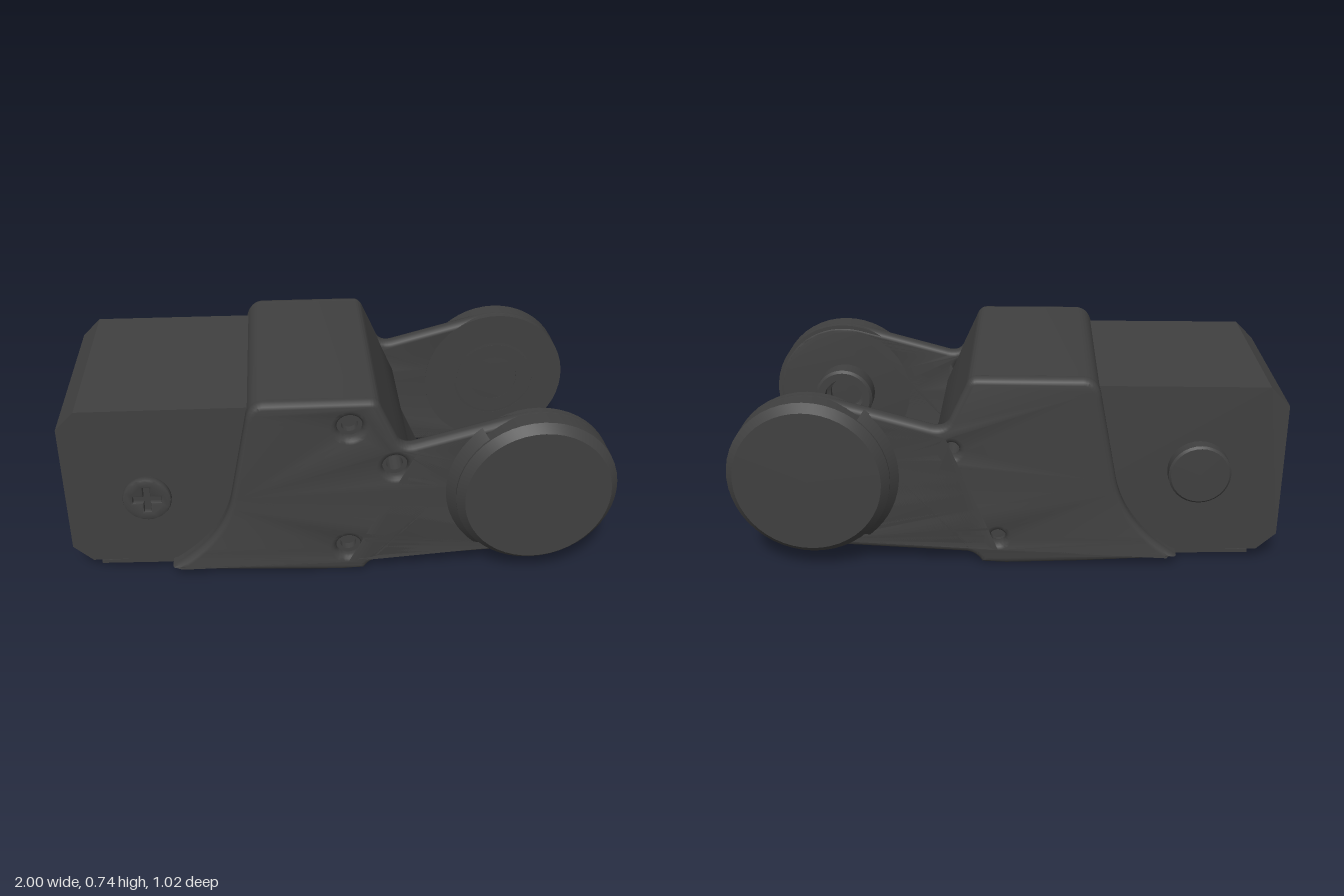
import * as THREE from 'three';
import { toCreasedNormals } from 'three/addons/utils/BufferGeometryUtils.js';

const PAD = [0.705, 0.365];           // pivot centre of the arms
const PAD_R = 0.293;
const BEVEL = 0.022;
const PIVOT = [-0.695, 0.37];         // screw / pin on the motor block

const addHole = (shape, x, y, r) => {
  const hole = new THREE.Path();
  hole.absarc(x, y, r, 0, Math.PI * 2, true);
  shape.holes.push(hole);
};

const polygon = (pts) => new THREE.Shape(pts.map(([x, y]) => new THREE.Vector2(x, y)));

// Bottom edge, then the arm or the web on the right, then the shared top and left edge
function bracketOutline(isArm) {
  const s = new THREE.Shape();
  s.moveTo(-0.63, 0.035);
  s.lineTo(-0.3, 0.012);
  s.lineTo(0, 0);
  s.lineTo(0.09, 0.004);
  s.quadraticCurveTo(0.11, 0.04, 0.145, 0.046);
  if (isArm) {
    s.lineTo(0.69, 0.073);
    s.absarc(PAD[0], PAD[1], PAD_R, -1.62, 1.83, false);
    s.lineTo(0.27, 0.55);
    s.quadraticCurveTo(0.22, 0.535, 0.2, 0.575);
  } else {
    s.lineTo(0.39, 0.058);
    s.lineTo(0.27, 0.32);
    s.lineTo(0.27, 0.42);
    s.lineTo(0.2, 0.575);
  }
  s.lineTo(0.14, 0.705);
  s.quadraticCurveTo(0.128, 0.735, 0.1, 0.735);
  s.lineTo(-0.27, 0.735);
  s.quadraticCurveTo(-0.325, 0.73, -0.335, 0.66);
  s.lineTo(-0.395, 0.35);
  s.quadraticCurveTo(-0.43, 0.16, -0.63, 0.035);
  return s;
}

// Extrudes between two z values, optionally with rounded edges that keep the outline
function extrude(shape, z0, z1, bevel = 0, segments = 3) {
  const g = new THREE.ExtrudeGeometry(shape, {
    depth: z1 - z0 - 2 * bevel,
    curveSegments: 16,
    bevelEnabled: bevel > 0,
    bevelThickness: bevel,
    bevelSize: bevel,
    bevelOffset: -bevel,
    bevelSegments: segments,
  });
  g.translate(0, 0, z0 + bevel);
  return toCreasedNormals(g, 0.6);
}

// Turned part around z; profile is [radius, distance from the middle plane]
function turned(profile, [x, y], side, segments = 48) {
  const g = new THREE.LatheGeometry(profile.map(([r, h]) => new THREE.Vector2(r, h)), segments);
  g.rotateX(side * Math.PI / 2);
  g.translate(x, y, 0);
  return toCreasedNormals(g, 0.5);
}

export function createModel() {
  const group = new THREE.Group();
  const charcoal = new THREE.MeshStandardMaterial({ color: 0x404040 });
  charcoal.name = 'charcoal plastic';
  const add = (name, geometry) => {
    const mesh = new THREE.Mesh(geometry, charcoal);
    mesh.name = name;
    group.add(mesh);
    return mesh;
  };

  // Motor block with chamfered rear corners
  add('motorBlock', extrude(polygon([
    [-1, 0.11], [-0.93, 0.045], [0.1, 0.045], [0.1, 0.69], [-0.93, 0.69], [-1, 0.62],
  ]), -0.378, 0.37));

  // Thin floor beneath the motor
  add('floorPlate', extrude(polygon([
    [-0.9, 0.025], [-0.3, 0.012], [-0.2, 0.06], [-0.9, 0.037],
  ]), -0.37, 0.365));

  // Bracket core and sloping web between the arms
  const core = bracketOutline(false);
  const screwSpots = [[0.03, 0.63], [0.03, 0.11], [0.195, 0.46]];
  screwSpots.forEach(([x, y]) => addHole(core, x, y, 0.03));
  add('bracketCore', extrude(core, -0.4, 0.4));

  // Side plates running out into the arms
  for (const side of [1, -1]) {
    const plate = bracketOutline(true);
    addHole(plate, ...PAD, 0.25);
    if (side > 0) {
      screwSpots.forEach(([x, y]) => addHole(plate, x, y, 0.046));
    } else {
      screwSpots.slice(1).forEach(([x, y]) => addHole(plate, x, y, 0.028));
    }
    const [z0, z1] = side > 0 ? [0.375, 0.434] : [-0.438, -0.379];
    add(side > 0 ? 'frontSidePlate' : 'backSidePlate', extrude(plate, z0, z1, BEVEL));

    // Sloped shoulder from the arm up to the pad
    const shoulder = new THREE.CylinderGeometry(0.262, 0.325, 0.078, 16, 1, true,
      side > 0 ? Math.PI * 1.22 : Math.PI * 1.22, Math.PI * 0.56);
    shoulder.rotateX(side * Math.PI / 2);
    shoulder.translate(PAD[0], PAD[1], side * 0.471);
    add(side > 0 ? 'frontShoulder' : 'backShoulder', shoulder);
  }

  // Front pad: recessed inner face with a hollow hub
  const padRim = [[PAD_R, 0.377], [PAD_R, 0.48], [0.265, 0.511], [0, 0.511]];
  add('frontPad', turned([
    [0, 0.42], [0.065, 0.42], [0.065, 0.35], [0.08, 0.34], [0.08, 0.29], [0.11, 0.29],
    [0.12, 0.3], [0.12, 0.4], [0.25, 0.4], [0.252, 0.377], ...padRim,
  ], PAD, 1));

  // Screw cups around the hub
  for (let i = 0; i < 4; i++) {
    const a = i * Math.PI / 2;
    const spot = [PAD[0] + 0.185 * Math.cos(a), PAD[1] + 0.185 * Math.sin(a)];
    add('screwCup', turned([
      [0, 0.397], [0.028, 0.397], [0.045, 0.38], [0.056, 0.38], [0.06, 0.402],
    ], spot, 1, 20));
  }

  // Back pad: bearing socket and a fine ring groove
  add('backPad', turned([
    [0, 0.45], [0.1, 0.45], [0.1, 0.378], [0.158, 0.378], [0.158, 0.386],
    [0.168, 0.386], [0.168, 0.378], ...padRim,
  ], PAD, -1));

  // Cross-slotted screw on the front of the motor
  const head = new THREE.Shape();
  head.absarc(...PIVOT, 0.087, 0, Math.PI * 2, false);
  const w = 0.012, l = 0.05;
  const cross = [[w, l], [w, w], [l, w], [l, -w], [w, -w], [w, -l],
    [-w, -l], [-w, -w], [-l, -w], [-l, w], [-w, w], [-w, l]];
  head.holes.push(new THREE.Path(cross.map(([x, y]) => new THREE.Vector2(PIVOT[0] + x, PIVOT[1] + y))));
  add('screwHead', extrude(head, 0.428, 0.456, 0.008, 2));
  add('screwShank', turned([[0, 0.36], [0.045, 0.36], [0.045, 0.422], [0.08, 0.422],
    [0.084, 0.438], [0, 0.438]], PIVOT, 1, 32));

  // Plain pivot pin on the back of the motor
  add('pivotPin', turned([[0, 0.37], [0.112, 0.37], [0.112, 0.422], [0.104, 0.43], [0, 0.43]], PIVOT, -1, 32));

  return group;
}
